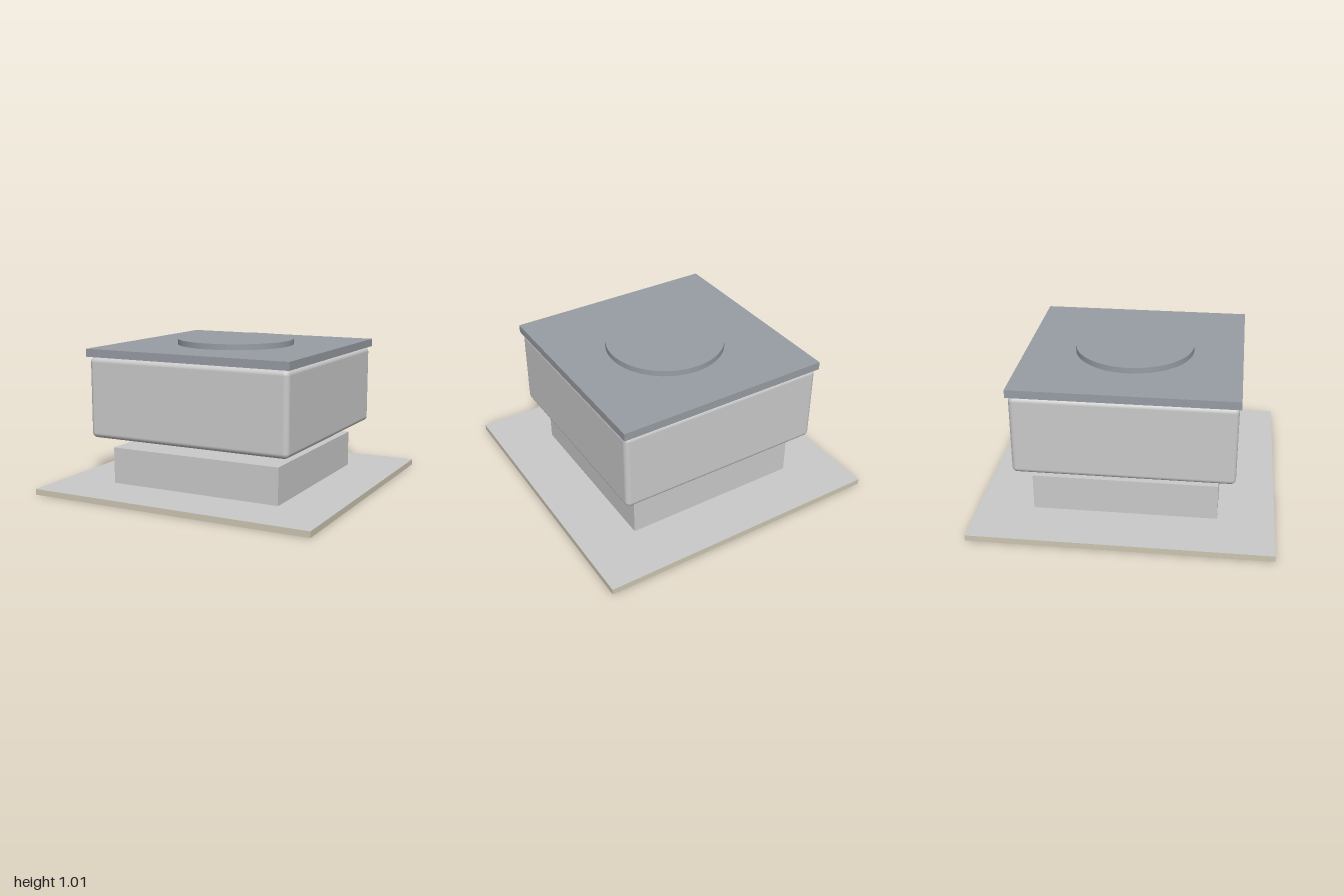
import * as THREE from 'three';
import { RoundedBoxGeometry } from 'three/addons/geometries/RoundedBoxGeometry.js';

function material(name, color) {
  const m = new THREE.MeshStandardMaterial({ color });
  m.name = name;
  return m;
}

export function createModel() {
  const grey = material('light grey', 0xcacaca);
  const slate = material('slate grey', 0x979da4);
  const cream = material('cream edge', 0xcdc6b1);

  const model = new THREE.Group();
  model.name = 'roofVent';

  // Adds a mesh whose underside sits at the given height
  function add(name, geometry, mat, bottom, height) {
    const mesh = new THREE.Mesh(geometry, mat);
    mesh.name = name;
    mesh.position.y = bottom + height / 2;
    model.add(mesh);
  }
  const slab = (name, width, bottom, top, mat) =>
    add(name, new THREE.BoxGeometry(width, top - bottom, width), mat, bottom, top - bottom);

  // Base plate: cream edges, grey top, slate underside
  slab('basePlate', 2, 0, 0.04, [cream, cream, grey, slate, cream, cream]);

  // Square curb on the plate
  slab('curb', 1.24, 0.04, 0.29, grey);

  // Soft-edged housing, raised clear of the curb
  add('housing', new RoundedBoxGeometry(1.46, 0.55, 1.46, 4, 0.035), grey, 0.37, 0.55);

  // Overhanging lid with a round cap
  slab('lid', 1.484, 0.922, 0.976, slate);
  add('roundCap', new THREE.CylinderGeometry(0.405, 0.405, 0.04, 64), slate, 0.975, 0.04);

  return model;
}
